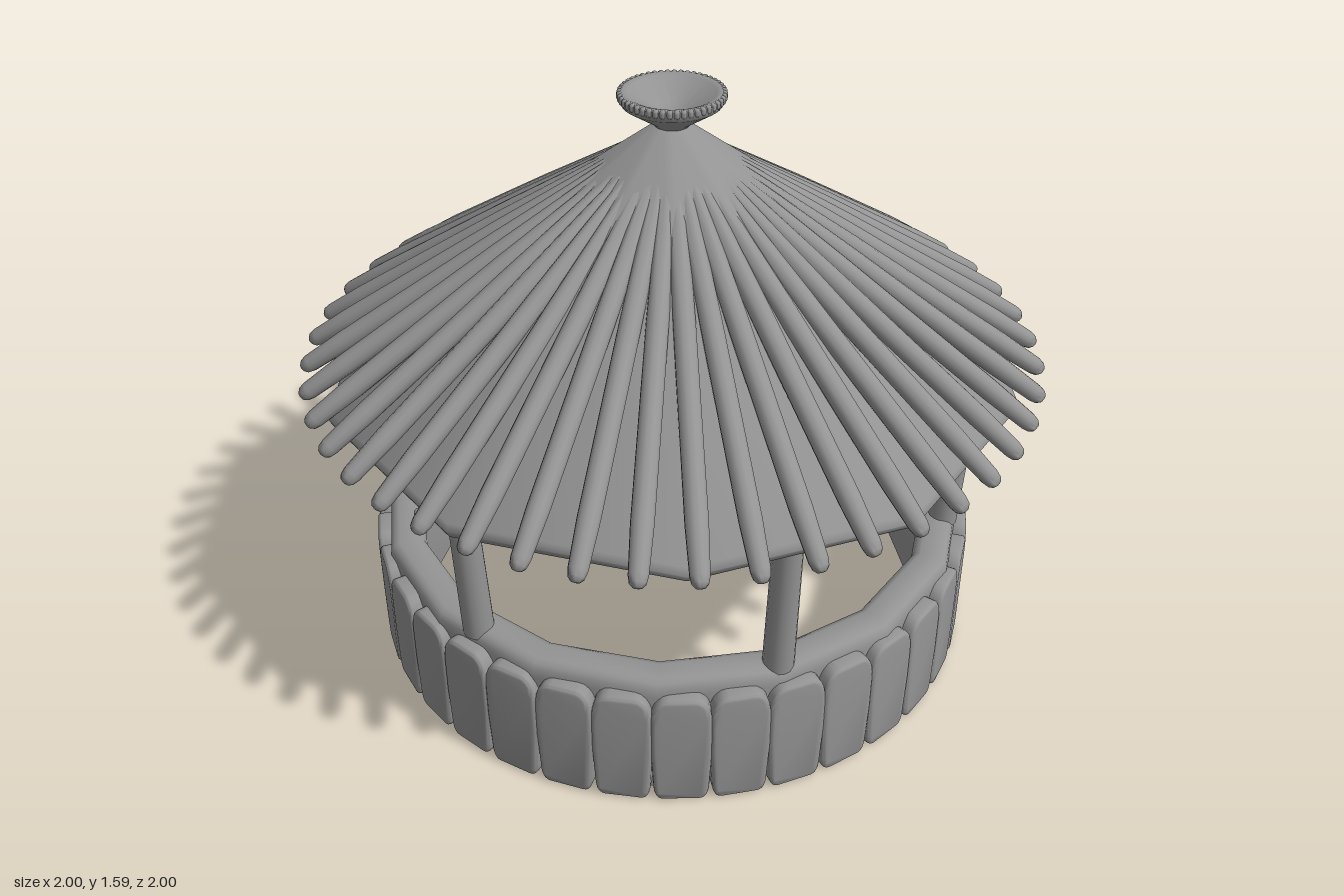
import * as THREE from 'three';
import { toCreasedNormals } from 'three/addons/utils/BufferGeometryUtils.js';

const material = new THREE.MeshStandardMaterial({ color: 0x949494 });
const V = (x, y, z) => new THREE.Vector3(x, y, z);
// Point at a given radius and angle (0 = +x, 90 degrees = +z)
const polar = (r, a, y) => V(r * Math.cos(a), y, r * Math.sin(a));

function add(parent, name, geometry) {
  const mesh = new THREE.Mesh(geometry, material);
  mesh.name = name;
  parent.add(mesh);
  return mesh;
}

function group(parent, name) {
  const g = new THREE.Group();
  g.name = name;
  parent.add(g);
  return g;
}

function lathe(profile, sides, start = 0, crease = 0.9) {
  const points = profile.map(([r, y]) => new THREE.Vector2(r, y));
  return toCreasedNormals(new THREE.LatheGeometry(points, sides, start), crease);
}

// Place an upright geometry so its axis runs from a to b
function between(mesh, a, b) {
  mesh.position.copy(a).lerp(b, 0.5);
  mesh.quaternion.setFromUnitVectors(V(0, 1, 0), b.clone().sub(a).normalize());
}

// Board outline: rounded top corners, sides drawn in towards the foot
function boardShape(w, h) {
  const s = new THREE.Shape();
  const x = w / 2;
  s.moveTo(-x + 0.02, 0);
  s.lineTo(x - 0.02, 0);
  s.quadraticCurveTo(x - 0.008, 0, x - 0.006, 0.03);
  s.lineTo(x, 0.15);
  s.lineTo(x, h - 0.08);
  s.quadraticCurveTo(x, h, x - 0.035, h);
  s.lineTo(-x + 0.035, h);
  s.quadraticCurveTo(-x, h, -x, h - 0.08);
  s.lineTo(-x, 0.15);
  s.lineTo(-x + 0.006, 0.03);
  s.quadraticCurveTo(-x + 0.008, 0, -x + 0.02, 0);
  return s;
}

export function createModel() {
  const model = new THREE.Group();
  model.name = 'roundHut';

  // Low ring wall with a rounded top
  add(model, 'ringWall', lathe([
    [0.72, 0.355], [0.72, 0.015], [0.81, 0.015], [0.822, 0.335],
    [0.819, 0.358], [0.81, 0.373], [0.795, 0.38], [0.745, 0.38], [0.727, 0.372], [0.72, 0.355],
  ], 16));

  // Boards cladding the wall
  const boards = group(model, 'wallBoards');
  const board = toCreasedNormals(new THREE.ExtrudeGeometry(boardShape(0.13, 0.319), {
    depth: 0.045, bevelEnabled: true, bevelThickness: 0.01, bevelSize: 0.012,
    bevelSegments: 3, curveSegments: 6,
  }), 0.9);
  const boardCount = 35;
  for (let i = 0; i < boardCount; i++) {
    const a = ((i + 0.54) / boardCount) * Math.PI * 2;
    const mesh = add(boards, 'wallBoard', board);
    mesh.position.copy(polar(0.788, a, 0.014));
    mesh.rotation.y = Math.PI / 2 - a;
  }

  // Six posts leaning slightly outwards
  const posts = group(model, 'posts');
  for (let i = 0; i < 6; i++) {
    const a = ((i + 0.5) / 6) * Math.PI * 2;
    const low = polar(0.773, a, 0.36);
    const high = polar(0.802, a, 0.85);
    const post = add(posts, 'post', new THREE.CylinderGeometry(0.037, 0.041, low.distanceTo(high), 16));
    between(post, low, high);
  }

  // Thin tie beams between opposite posts
  const beams = [
    [V(0.73, 0.757, 0.38), V(-0.8, 0.755, 0.37)],
    [V(0.73, 0.757, -0.37), V(-0.8, 0.755, -0.37)],
    [V(0, 0.772, 0.79), V(0, 0.772, -0.79)],
  ];
  for (const [a, b] of beams) {
    const beam = add(model, 'tieBeam', new THREE.CapsuleGeometry(0.013, a.distanceTo(b) - 0.026, 4, 10));
    between(beam, a, b);
  }

  // Ten-sided hollow roof with a rounded eave
  add(model, 'roof', lathe([
    [0, 1.42], [0.875, 0.808], [0.885, 0.795], [0.905, 0.793], [0.926, 0.803],
    [0.936, 0.822], [0.928, 0.843], [0.045, 1.503], [0, 1.51],
  ], 10, Math.PI / 2));

  // Poles laid over the roof, thickest along the middle
  const poles = group(model, 'roofPoles');
  const poleCount = 45;
  const half = 0.545;
  const poleGeometry = lathe([
    [0, -half], [0.012, -half + 0.003], [0.02, -half + 0.012], [0.024, -half + 0.03],
    [0.028, -half + 0.15], [0.028, 0.1], [0.022, half - 0.02], [0, half],
  ], 12);
  for (let i = 0; i < poleCount; i++) {
    const a = (i / poleCount) * Math.PI * 2 + 0.042;
    between(add(poles, 'roofPole', poleGeometry), polar(0.995, a, 0.838), polar(0.083, a, 1.434));
  }

  // Flared dish on the peak
  add(model, 'finial', lathe([
    [0, 1.49], [0.04, 1.495], [0.05, 1.508], [0.128, 1.56], [0.135, 1.572],
    [0.135, 1.587], [0.124, 1.592], [0.112, 1.587], [0.04, 1.545], [0, 1.535],
  ], 40));

  // Ribs around the dish rim
  const ribs = group(model, 'finialRibs');
  const ribGeometry = new THREE.CapsuleGeometry(0.009, 0.006, 3, 8);
  for (let i = 0; i < 48; i++) {
    add(ribs, 'finialRib', ribGeometry).position.copy(polar(0.13, (i / 48) * Math.PI * 2, 1.581));
  }

  return model;
}
